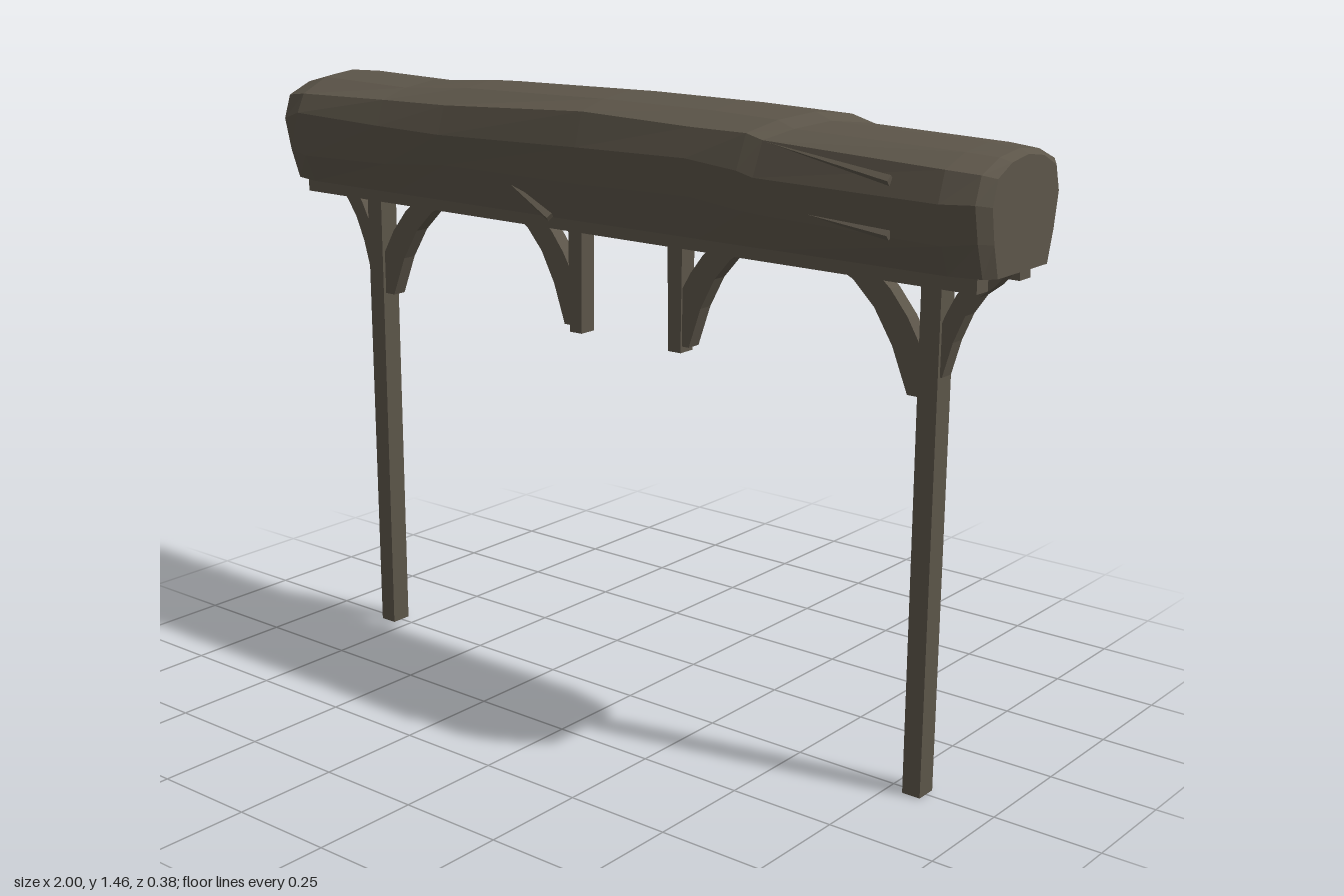
import * as THREE from 'three';

const wood = new THREE.MeshStandardMaterial({ color: 0x5c5549, flatShading: true });
wood.name = 'weathered wood';

let seed = 7;
const rand = () => (seed = (seed * 16807) % 2147483647) / 2147483647;

function add(group, geometry, name, x = 0, y = 0, z = 0) {
  const mesh = new THREE.Mesh(geometry, wood);
  mesh.name = name;
  mesh.position.set(x, y, z);
  group.add(mesh);
  return mesh;
}

// Faceted log body: one half cross-section, mirrored and scaled along x
function canopyGeometry() {
  const bottom = 1.18, height = 0.28;
  const half = [[0.14, 0], [0.168, 0.3], [0.187, 0.62], [0.165, 0.85], [0.09, 0.96]];
  const ring = [...half, [0, 1], ...half.map(([z, h]) => [-z, h]).reverse()];
  // x, width scale, top height
  const stations = [[-1, 0.7, 1.41], [-0.975, 0.87, 1.425], [-0.9, 1, 1.443], [-0.62, 1, 1.437],
    [-0.42, 1, 1.452], [0, 1.01, 1.46], [0.3, 1, 1.459], [0.5, 1, 1.453], [0.54, 0.985, 1.437],
    [0.91, 0.97, 1.427], [0.98, 0.87, 1.422], [1, 0.7, 1.412]];
  const loops = stations.map(([x, w, top], i) => ring.map(([z, h]) => {
    const inner = i > 1 && i < stations.length - 2;
    const wob = inner && h > 0 && h < 0.9 ? (rand() - 0.5) * 0.025 : 0;
    const skew = i === 7 || i === 8 ? z * -0.35 : 0;
    return [x + skew, bottom + h * (top - bottom) + wob, z * w];
  }));
  const pos = [];
  const tri = (...p) => p.forEach(v => pos.push(...v));
  const n = ring.length;
  for (let i = 0; i < loops.length - 1; i++) {
    for (let j = 0; j < n; j++) {
      const k = (j + 1) % n, A = loops[i], B = loops[i + 1];
      tri(A[j], B[j], B[k]);
      tri(A[j], B[k], A[k]);
    }
  }
  // End caps
  const first = loops[0], last = loops[loops.length - 1];
  const c = bottom + height * 0.45;
  for (let j = 0; j < n; j++) {
    const k = (j + 1) % n;
    tri([-1, c, 0], first[j], first[k]);
    tri([1, c, 0], last[k], last[j]);
  }
  const g = new THREE.BufferGeometry();
  g.setAttribute('position', new THREE.Float32BufferAttribute(pos, 3));
  g.computeVertexNormals();
  return g;
}

// Curved brace from a post up to the canopy; dir is the side it leans to
function braceGeometry(reach, drop, foot, thick, dir) {
  const top = 1.18, s = new THREE.Shape();
  s.moveTo(0, top - drop);
  s.lineTo(0, top - drop + foot);
  s.quadraticCurveTo(reach * 0.3, top - 0.05, reach - thick, top);
  s.lineTo(reach + 0.03, top);
  s.lineTo(reach, top - 0.035);
  s.quadraticCurveTo(reach * 0.45, top - 0.07, reach * 0.14, top - drop);
  s.closePath();
  const g = new THREE.ExtrudeGeometry(s, { depth: 0.036, bevelEnabled: false, curveSegments: 4 });
  g.translate(0, 0, -0.018);
  if (dir < 0) g.rotateY(Math.PI);
  return g;
}

// Square post with a slight taper toward the foot
function postGeometry(width, depth, height, taper) {
  const g = new THREE.BoxGeometry(width, height, depth);
  const p = g.attributes.position;
  for (let i = 0; i < p.count; i++) if (p.getY(i) < 0) p.setX(i, p.getX(i) * taper);
  return g;
}

export function createModel() {
  const model = new THREE.Group();
  model.name = 'timber shelter beam';

  add(model, canopyGeometry(), 'logCanopy');

  // Twin rails under the canopy
  for (const z of [-0.085, 0.085]) {
    add(model, new THREE.BoxGeometry(1.92, 0.042, 0.043), 'rail', 0, 1.166, z);
  }

  for (const side of [-1, 1]) {
    const frame = new THREE.Group();
    frame.name = side < 0 ? 'rightFrame' : 'leftFrame';
    model.add(frame);

    // Full-height post with a short outer brace and a long inner brace
    add(frame, postGeometry(0.048, 0.052, 1.19, 0.92), 'post', side * 0.81, 0.595, 0);
    add(frame, braceGeometry(0.13, 0.24, 0.08, 0.035, side), 'outerBrace', side * 0.82);
    add(frame, braceGeometry(0.235, 0.29, 0.1, 0.05, -side), 'innerBrace', side * 0.79);

    // Short hanging post with its brace
    add(frame, postGeometry(0.042, 0.045, 0.3, 0.85), 'hangingPost', side * 0.147, 1.035, 0);
    add(frame, braceGeometry(0.19, 0.28, 0.12, 0.05, side), 'hangingBrace', side * 0.158);
  }

  // Raised splinters on the front of the log
  const splinters = [[0.65, 1.385, 0.176, 0.3, -0.16], [0.66, 1.265, 0.166, 0.27, -0.1],
    [-0.2, 1.235, 0.157, 0.22, -0.5]];
  for (const [x, y, z, length, tilt] of splinters) {
    const g = new THREE.ConeGeometry(0.011, length, 4);
    g.rotateZ(Math.PI / 2);
    add(model, g, 'splinter', x, y, z).rotation.z = tilt;
  }

  // Ragged bark chips along the lower back edge
  for (let i = 0; i < 34; i++) {
    const lift = rand() * 0.05;
    const chip = add(model, new THREE.TetrahedronGeometry(0.01 + rand() * 0.011),
      'barkChip', -0.75 + i * 0.03, 1.183 + lift, -0.14 - lift * 0.5);
    chip.rotation.set(rand() * 3, rand() * 3, rand() * 3);
  }
  return model;
}
